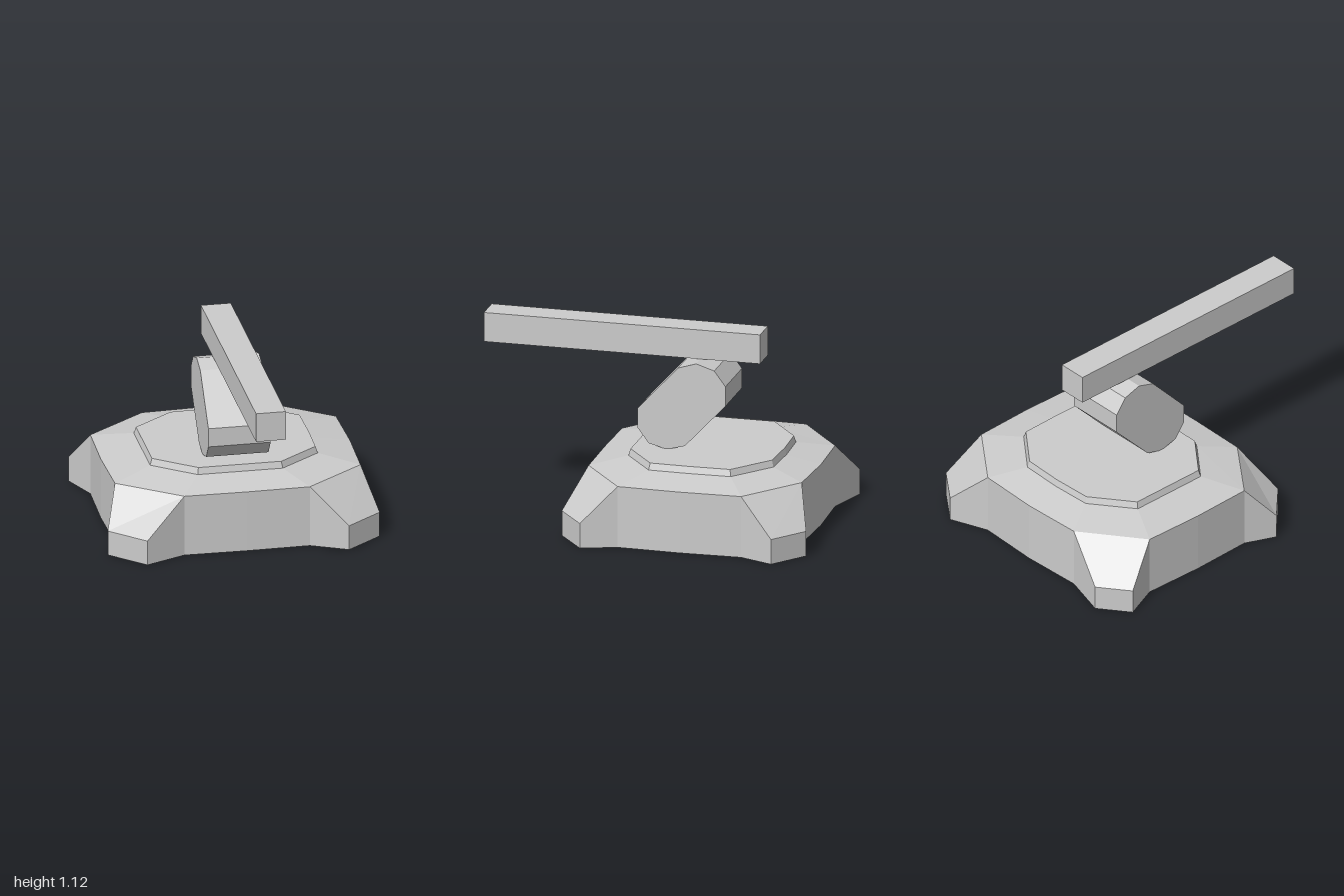
import * as THREE from 'three';

const material = new THREE.MeshStandardMaterial({ color: 0xcccccc, flatShading: true });

function addMesh(group, name, geometry) {
  const mesh = new THREE.Mesh(geometry, material);
  mesh.name = name;
  group.add(mesh);
  return mesh;
}

// Closed faceted solid through rings of [x, y, z] points, listed from bottom to top.
function loft(rings) {
  const out = [];
  const same = (a, b) => a.every((v, i) => v === b[i]);
  const tri = (a, b, c) => {
    if (!same(a, b) && !same(b, c) && !same(a, c)) out.push(...a, ...b, ...c);
  };
  const n = rings[0].length;
  const centre = (ring) => [0, ring[0][1], -0.29];
  const top = rings[rings.length - 1];
  for (let i = 0; i < n; i++) {
    const j = (i + 1) % n;
    for (let r = 0; r < rings.length - 1; r++) {
      const lo = rings[r], hi = rings[r + 1];
      tri(lo[i], lo[j], hi[j]);
      tri(lo[i], hi[j], hi[i]);
    }
    tri(centre(rings[0]), rings[0][j], rings[0][i]);
    tri(centre(top), top[i], top[j]);
  }
  const geometry = new THREE.BufferGeometry();
  geometry.setAttribute('position', new THREE.Float32BufferAttribute(out, 3));
  geometry.computeVertexNormals();
  return geometry;
}

// Base outline [x, z]: per quarter a side middle, hull corner, two foot corners, hull corner.
const outline = [
  [0, 0.325], [0.36, 0.32], [0.565, 0.42], [0.77, 0.26], [0.7, 0.06],
  [0.71, -0.3], [0.7, -0.655], [0.78, -0.85], [0.58, -1], [0.36, -0.915],
  [0, -0.93], [-0.355, -0.915], [-0.615, -0.99], [-0.785, -0.86], [-0.7, -0.655],
  [-0.71, -0.3], [-0.7, 0.06], [-0.775, 0.235], [-0.585, 0.42], [-0.355, 0.32],
];

// Octagonal deck outline with the same quarters, without feet.
const deck = [
  [0, 0.12], [0.245, 0.12], [0.48, -0.06],
  [0.485, -0.29], [0.48, -0.535], [0.245, -0.72],
  [0, -0.73], [-0.24, -0.72], [-0.475, -0.54],
  [-0.475, -0.29], [-0.475, -0.065], [-0.24, 0.12],
];

function baseGeometry() {
  const isFoot = (i) => i % 5 === 2 || i % 5 === 3;
  // The first foot corner of a pair closes onto the hull corner before it, the second onto the one after.
  const hullIndex = (i) => (i % 5 === 2 ? i - 1 : i % 5 === 3 ? i + 1 : i);
  const deckIndex = (i) => Math.floor(i / 5) * 3 + [0, 1, 1, 2, 2][i % 5];
  const ground = outline.map(([x, z]) => [x, 0, z]);
  const shoulder = outline.map(([x, z], i) => [x, isFoot(i) ? 0.145 : 0.357, z]);
  const hullTop = outline.map((_, i) => shoulder[hullIndex(i)]);
  const deckRing = (y, s) => outline.map((_, i) => {
    const [x, z] = deck[deckIndex(i)];
    return [x * s, y, -0.3 + (z + 0.3) * s];
  });
  return loft([ground, shoulder, hullTop, deckRing(0.397, 1), deckRing(0.435, 0.975)]);
}

// Side profile [z, y] of the tilted arm.
const armProfile = [
  [-0.255, 0.945], [-0.36, 0.912], [-0.425, 0.825], [-0.425, 0.71], [-0.19, 0.458],
  [-0.085, 0.43], [0.02, 0.458], [0.085, 0.545], [0.085, 0.655], [-0.15, 0.912],
];

export function createModel() {
  const model = new THREE.Group();
  model.name = 'turret';

  // Four-footed base with raised deck
  addMesh(model, 'base', baseGeometry());

  // Tilted arm, extruded sideways
  const shape = new THREE.Shape(armProfile.map(([z, y]) => new THREE.Vector2(z, y)));
  const arm = new THREE.ExtrudeGeometry(shape, { depth: 0.355, bevelEnabled: false });
  arm.rotateY(-Math.PI / 2).translate(0.183, 0, 0);
  addMesh(model, 'arm', arm);

  // Square barrel resting on the arm
  const barrel = addMesh(model, 'barrel', new THREE.BoxGeometry(0.17, 0.17, 1.6));
  barrel.position.set(0.005, 1.03, 0.2);

  return model;
}
